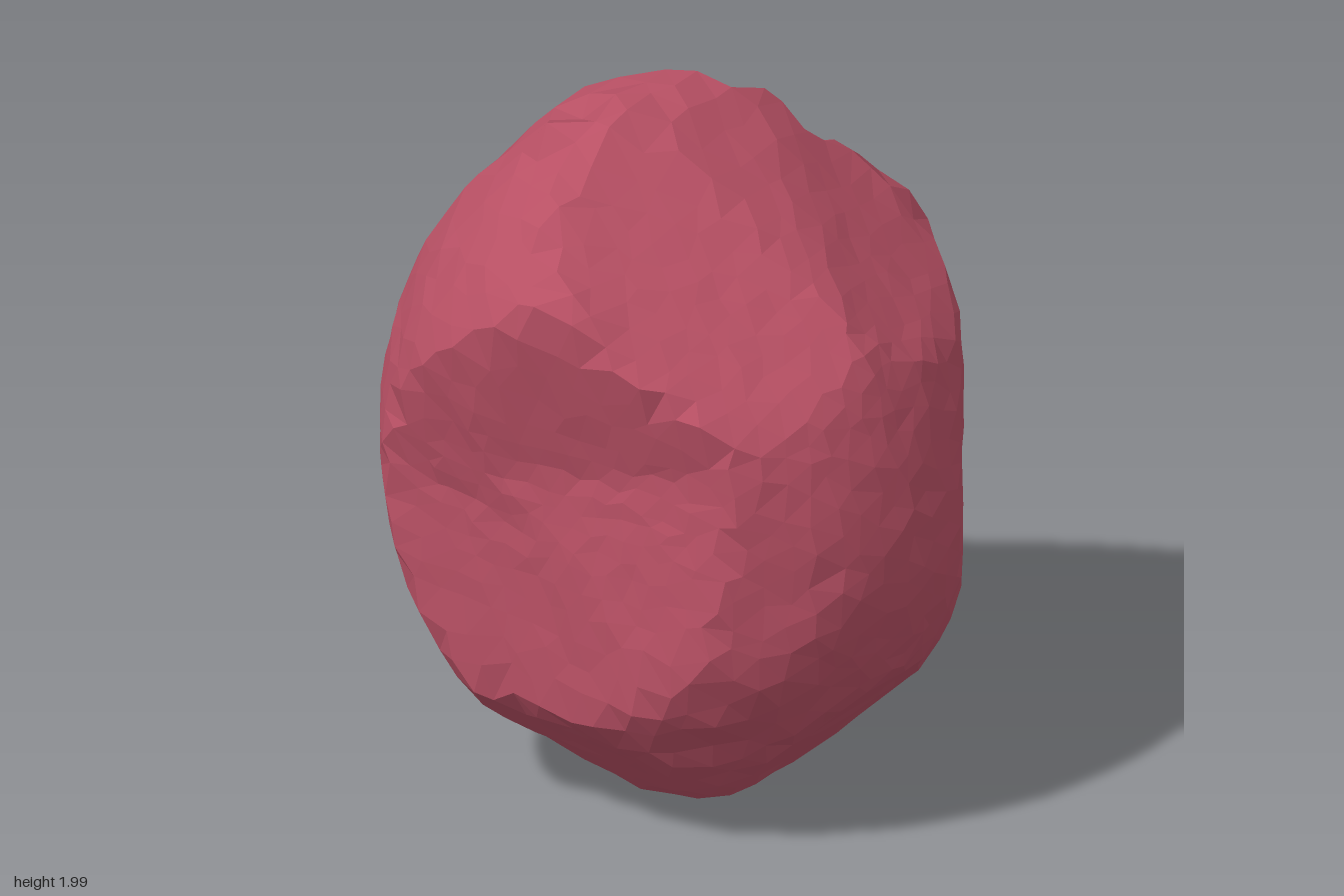
import * as THREE from 'three';
import { mergeVertices } from 'three/addons/utils/BufferGeometryUtils.js';

// Seeded random numbers in -1..1
function makeRandom(seed) {
  return () => {
    seed = (seed * 16807) % 2147483647;
    return (seed / 2147483647) * 2 - 1;
  };
}

// Broken faces: outward normal and offset from the middle of the boulder.
// Two planes in one entry meet in a hollow instead of a ridge.
const cuts = [
  [[0, 0.783, 0.622, 0.744]],       // large sloping face, front top
  [[-0.39, 0.695, 0.603, 0.706]],   // its left part
  [[0.24, 0.69, 0.68, 0.72]],       // its right part
  [[-1, -0.22, 0.22, 0.55], [-1, 0.12, 0.15, 0.58]], // hollow left side, front
  [[-1, -0.22, 0, 0.6], [-1, 0, 0, 0.59]],           // hollow left side, back
  [[-0.707, 0, 0.707, 0.72]],       // front left corner
  [[0.82, 0.57, 0, 0.82]],          // right shoulder
  [[0.76, 0.48, -0.44, 0.66]],      // right shoulder, back
  [[1, 0, 0, 0.7]],                 // right side
  [[0.8, 0, 0.6, 0.71]],            // front right corner
  [[0.586, 0, 0.81, 0.726]],        // front right corner, inner
  [[0.76, -0.64, 0, 0.845]],        // lower right
  [[0.45, -0.89, 0, 0.92]],         // lower right, near the base
  [[-0.685, -0.73, 0, 0.857]],      // lower left
  [[0, -0.7, 0.7, 0.84]],           // lower front
  [[0.35, -0.87, 0.35, 0.965]],     // base, front right
  [[-0.35, -0.87, 0.35, 0.97]],     // base, front left
  [[-0.35, -0.87, -0.35, 0.935]],   // base, back left
  [[0.4, -0.64, -0.655, 0.7]],      // undercut at the back right
  [[0, -0.7, -0.714, 0.755]],       // undercut at the back
  [[0.04, 0, -1, 0.765]],           // back
  [[0, 0.11, -0.99, 0.767]],        // back, leaning in
  [[0, 0.54, -0.84, 0.81]],         // upper back
  [[0, 1, 0, 0.99]],                // top
  [[0, -1, 0, 1]],                  // base
];

// Small chips and spikes: place, reach, height
const chips = [
  [-0.25, 0.93, -0.27, 0.08, 0.1],
  [-0.14, 0.95, -0.24, 0.08, -0.04],
  [0.42, 0.74, 0.06, 0.1, -0.04],
  [0.5, 0.58, 0.22, 0.09, 0.03],
  [-0.63, 0.6, 0.06, 0.11, 0.06],
  [-0.42, -0.65, 0.45, 0.1, -0.03],
];

// Distance from the middle to the surface along direction d
function radiusAlong(d, noise) {
  const rx = d.z > 0 && d.x < 0 ? 0.75 : 0.83;
  const rz = d.z > 0 ? 0.76 - 0.12 * Math.max(d.y, -0.3) : 0.83;
  let r = (1 + noise * 0.006) / Math.hypot(d.x / rx, d.y / 1.02, d.z / rz);
  for (const planes of cuts) {
    const reach = planes.map(([x, y, z, offset]) => {
      const facing = d.x * x + d.y * y + d.z * z;
      return facing > 0 ? (offset + noise * 0.003) / facing : Infinity;
    });
    r = Math.min(r, Math.max(...reach));
  }
  const p = d.clone().multiplyScalar(r);
  for (const [x, y, z, reach, height] of chips) {
    const away = Math.hypot(p.x - x, p.y - y, p.z - z);
    r += height * Math.max(0, 1 - away / reach);
  }
  return r;
}

export function createModel() {
  const random = makeRandom(4711);
  const ball = new THREE.IcosahedronGeometry(1, 11);
  ball.deleteAttribute('normal');
  ball.deleteAttribute('uv');
  const geometry = mergeVertices(ball, 1e-4);

  // Shape the ball into a boulder with irregular facets
  const pos = geometry.attributes.position;
  const d = new THREE.Vector3();
  for (let i = 0; i < pos.count; i++) {
    d.fromBufferAttribute(pos, i);
    d.x += random() * 0.025;
    d.y += random() * 0.025;
    d.z += random() * 0.025;
    d.normalize();
    d.multiplyScalar(radiusAlong(d, random()));
    pos.setXYZ(i, d.x, d.y + 1, d.z);
  }
  geometry.computeVertexNormals();

  const boulder = new THREE.Mesh(
    geometry,
    new THREE.MeshStandardMaterial({ color: 0xb85064, flatShading: true })
  );
  boulder.name = 'boulder';
  const group = new THREE.Group();
  group.name = 'rock';
  group.add(boulder);
  return group;
}
